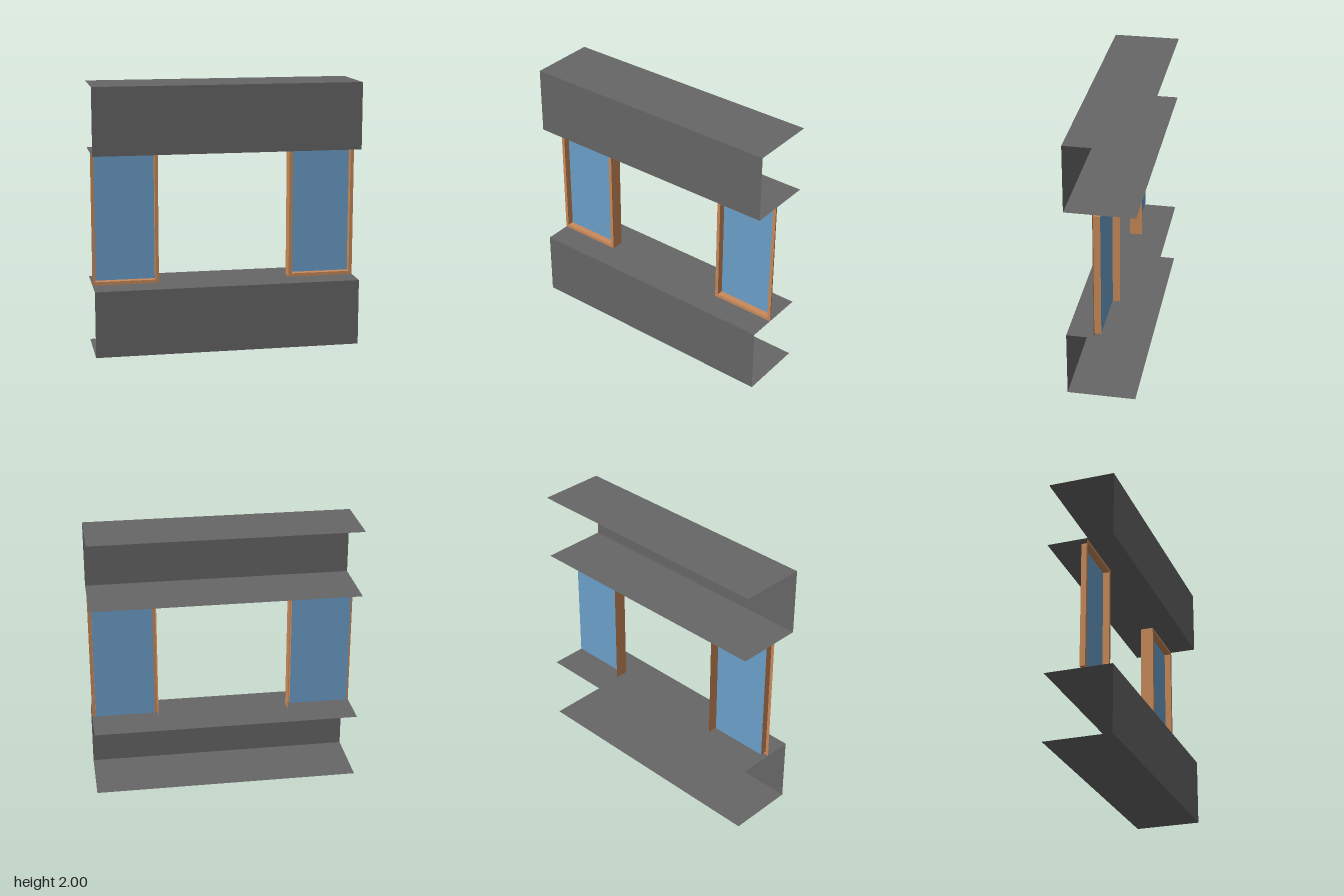
import * as THREE from 'three';

const paint = (color) => new THREE.MeshStandardMaterial({ color, side: THREE.DoubleSide });
const panelGrey = paint(0x666666);
const wood = paint(0xc98a5a);
const glassBlue = paint(0x6b9fca);

// Thin sheet of w x h, centred on a position; facing is 'x', 'y' or 'z'
function sheet(name, facing, w, h, [x, y, z], material) {
  const geometry = new THREE.PlaneGeometry(w, h);
  if (facing === 'x') geometry.rotateY(Math.PI / 2);
  if (facing === 'y') geometry.rotateX(-Math.PI / 2);
  const mesh = new THREE.Mesh(geometry, material);
  mesh.name = name;
  mesh.position.set(x, y, z);
  return mesh;
}

// Wall channel: front panel with top and bottom shelves, open at the back and ends
function createChannel(name, y) {
  const group = new THREE.Group();
  group.name = name;
  group.add(
    sheet('frontPanel', 'z', 2, 0.5, [0, y + 0.25, 0.25], panelGrey),
    sheet('bottomShelf', 'y', 2, 0.5, [0, y, 0], panelGrey),
    sheet('topShelf', 'y', 2, 0.5, [0, y + 0.5, 0], panelGrey)
  );
  return group;
}

// Window, 0.5 wide and 1 high; side is the sign of x it stands on
function createWindow(name, side) {
  const W = 0.5, H = 1, RIM = 0.025, DEPTH = 0.05;
  const iw = W / 2 - RIM, ih = H / 2 - RIM;
  const group = new THREE.Group();
  group.name = name;
  group.position.set(side * 0.75, 1, 0);

  // Front rim of the frame
  const rect = (path, a, b) =>
    path.moveTo(-a, -b).lineTo(a, -b).lineTo(a, b).lineTo(-a, b).closePath();
  const rimShape = rect(new THREE.Shape(), W / 2, H / 2);
  rimShape.holes.push(rect(new THREE.Path(), iw, ih));
  const rim = new THREE.Mesh(new THREE.ShapeGeometry(rimShape), wood);
  rim.name = 'frameRim';
  rim.position.z = DEPTH;
  group.add(rim);

  // Reveals running from the rim back to the glass
  for (const s of [-1, 1]) {
    group.add(
      sheet('sideReveal', 'x', DEPTH, 2 * ih, [s * iw, 0, DEPTH / 2], wood),
      sheet('endReveal', 'y', 2 * iw, DEPTH, [0, s * ih, DEPTH / 2], wood)
    );
  }

  // Full-depth jamb beside the central opening, and the pane
  group.add(
    sheet('openingJamb', 'x', 2 * DEPTH, H, [-side * W / 2, 0, 0], wood),
    sheet('glass', 'z', 2 * iw, 2 * ih, [0, 0, 0], glassBlue)
  );
  return group;
}

export function createModel() {
  const model = new THREE.Group();
  model.name = 'windowWall';
  model.add(
    createChannel('lowerChannel', 0),
    createChannel('upperChannel', 1.5),
    createWindow('leftWindow', 1),
    createWindow('rightWindow', -1)
  );
  return model;
}
